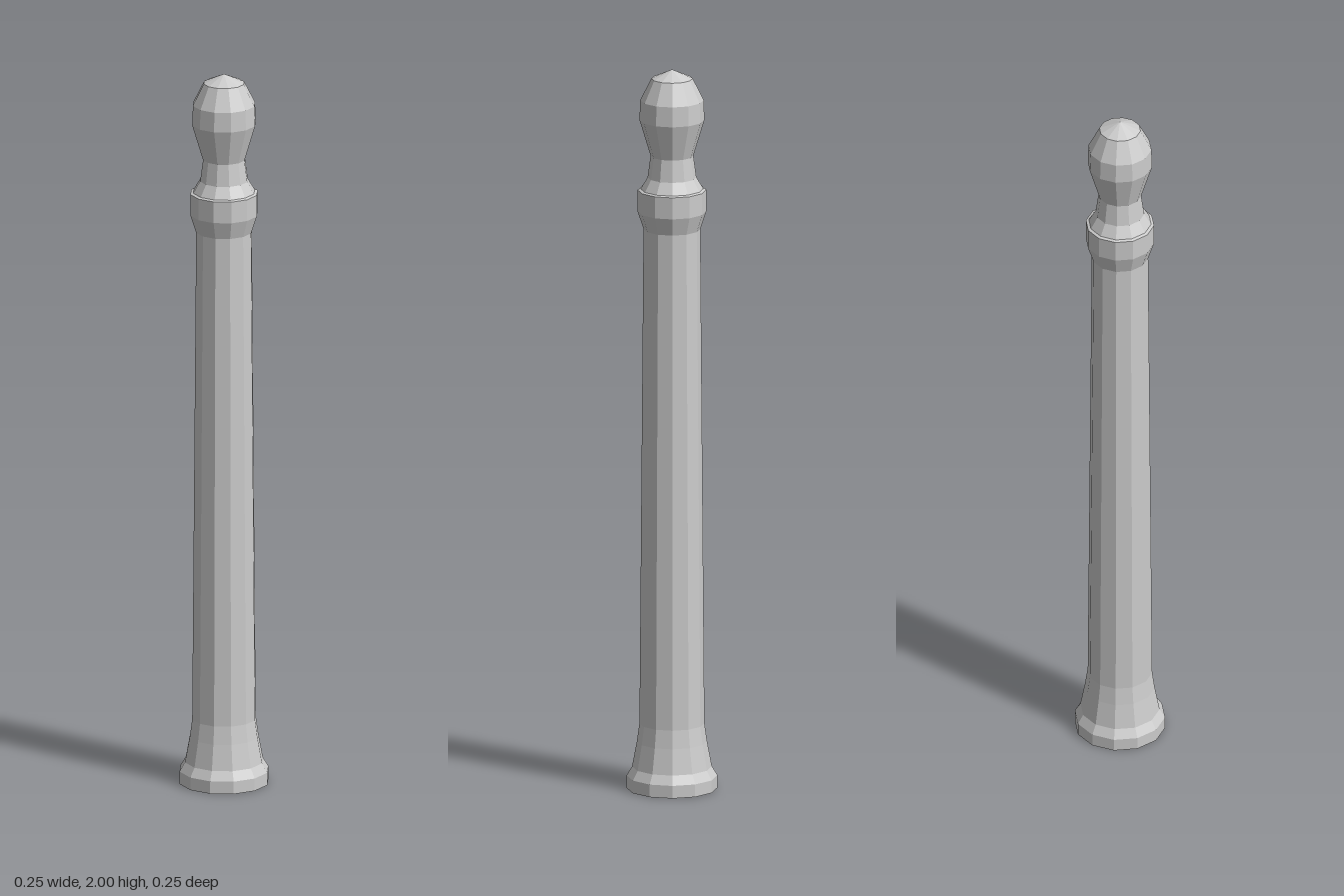
import * as THREE from 'three';

const SIDES = 12;

export function createModel() {
  const post = new THREE.Group();
  post.name = 'bollard';

  const paint = new THREE.MeshStandardMaterial({ color: 0xcccccc, flatShading: true, side: THREE.DoubleSide });
  paint.name = 'light grey paint';

  // Turns a [radius, height] profile, listed bottom to top
  const turn = (name, profile) => {
    const points = profile.map(([r, y]) => new THREE.Vector2(r, y));
    const mesh = new THREE.Mesh(new THREE.LatheGeometry(points, SIDES), paint);
    mesh.name = name;
    post.add(mesh);
  };

  // Flared foot, hollow underneath
  turn('foot', [[0.123, 0], [0.123, 0.035], [0.108, 0.06], [0.095, 0.13], [0.088, 0.18]]);
  // Slightly tapered shaft
  turn('shaft', [[0.088, 0.18], [0.077, 1.556]]);
  // Raised collar with chamfered lower edge
  turn('collar', [[0.077, 1.556], [0.093, 1.605], [0.093, 1.665], [0.085, 1.668]]);
  // Waisted neck
  turn('neck', [[0.085, 1.668], [0.066, 1.70], [0.058, 1.76]]);
  // Rounded finial
  turn('finial', [[0.058, 1.76], [0.088, 1.86], [0.086, 1.915], [0.056, 1.975], [0, 2]]);

  return post;
}
